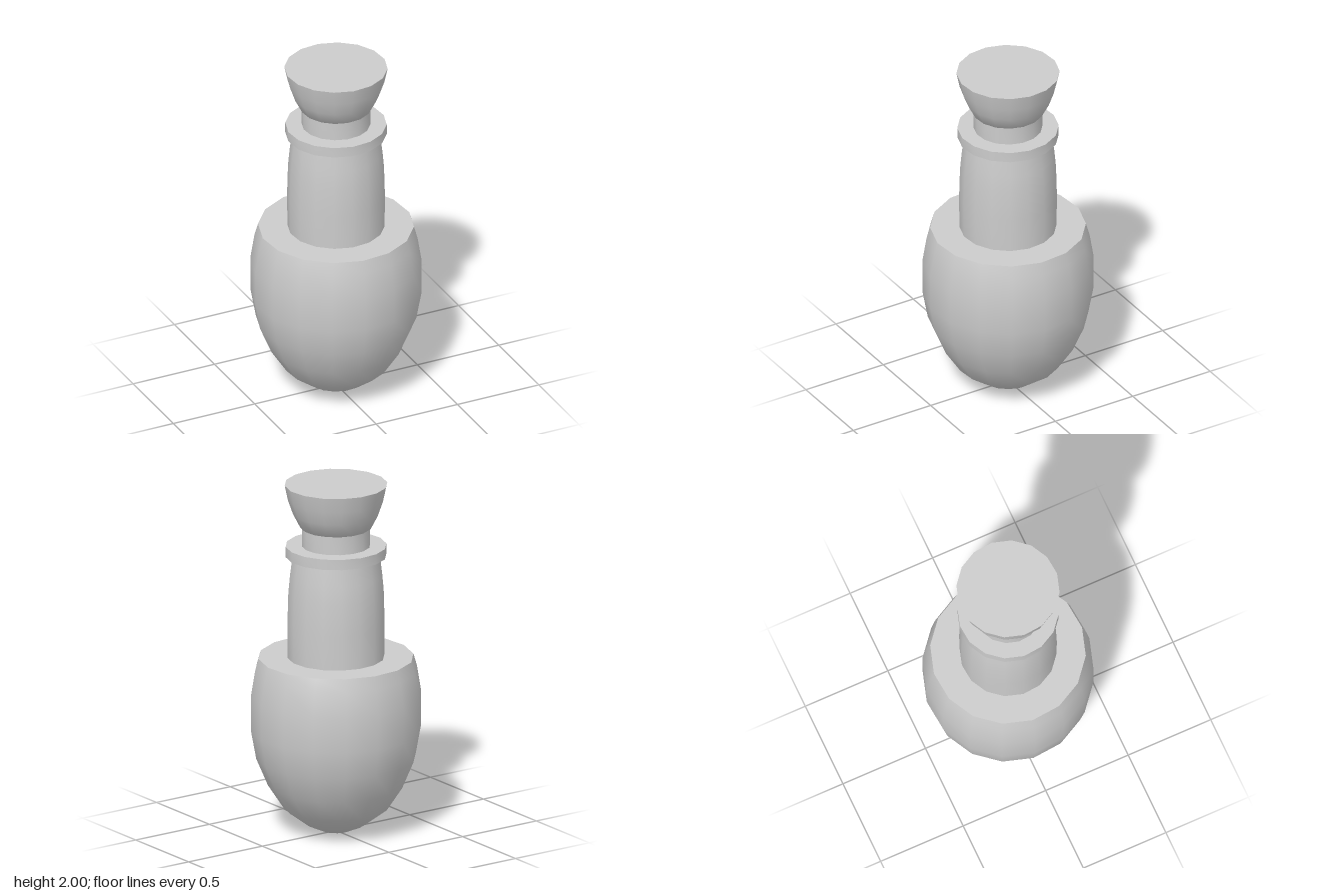
import * as THREE from 'three';
import { toCreasedNormals } from 'three/addons/utils/BufferGeometryUtils.js';

const SIDES = 16;
const TURN = THREE.MathUtils.degToRad(16.4); // facets are turned slightly off the axes

const material = new THREE.MeshStandardMaterial({ color: 0xcccccc, side: THREE.DoubleSide });

// Turned part from a profile of [radius, height] pairs, listed from bottom to top
function turned(name, profile) {
  const points = profile.map(([r, y]) => new THREE.Vector2(r, y));
  const lathe = new THREE.LatheGeometry(points, SIDES, TURN);
  const mesh = new THREE.Mesh(toCreasedNormals(lathe, 0.65), material);
  mesh.name = name;
  return mesh;
}

export function createModel() {
  const group = new THREE.Group();
  group.name = 'bulbBottle';

  group.add(
    // Egg-shaped bulb with a flat shoulder
    turned('body', [
      [0, 0], [0.085, 0.01], [0.168, 0.048], [0.29, 0.14], [0.378, 0.275],
      [0.443, 0.43], [0.472, 0.59], [0.473, 0.79], [0.45, 0.935], [0.43, 1.005], [0, 1.005],
    ]),
    // Slightly tapering neck
    turned('neck', [
      [0.268, 1.0], [0.27, 1.2], [0.265, 1.38], [0.256, 1.48], [0.242, 1.59],
    ]),
    // Flat ring around the top of the neck
    turned('collar', [
      [0, 1.588], [0.28, 1.588], [0.28, 1.647], [0, 1.647],
    ]),
    // Narrow stem between collar and stopper
    turned('stem', [[0.19, 1.64], [0.19, 1.755]]),
    // Flared stopper with a flat top
    turned('stopper', [
      [0.19, 1.75], [0.198, 1.755], [0.239, 1.835], [0.267, 1.915], [0.285, 2.0], [0, 2.0],
    ]),
  );
  return group;
}
